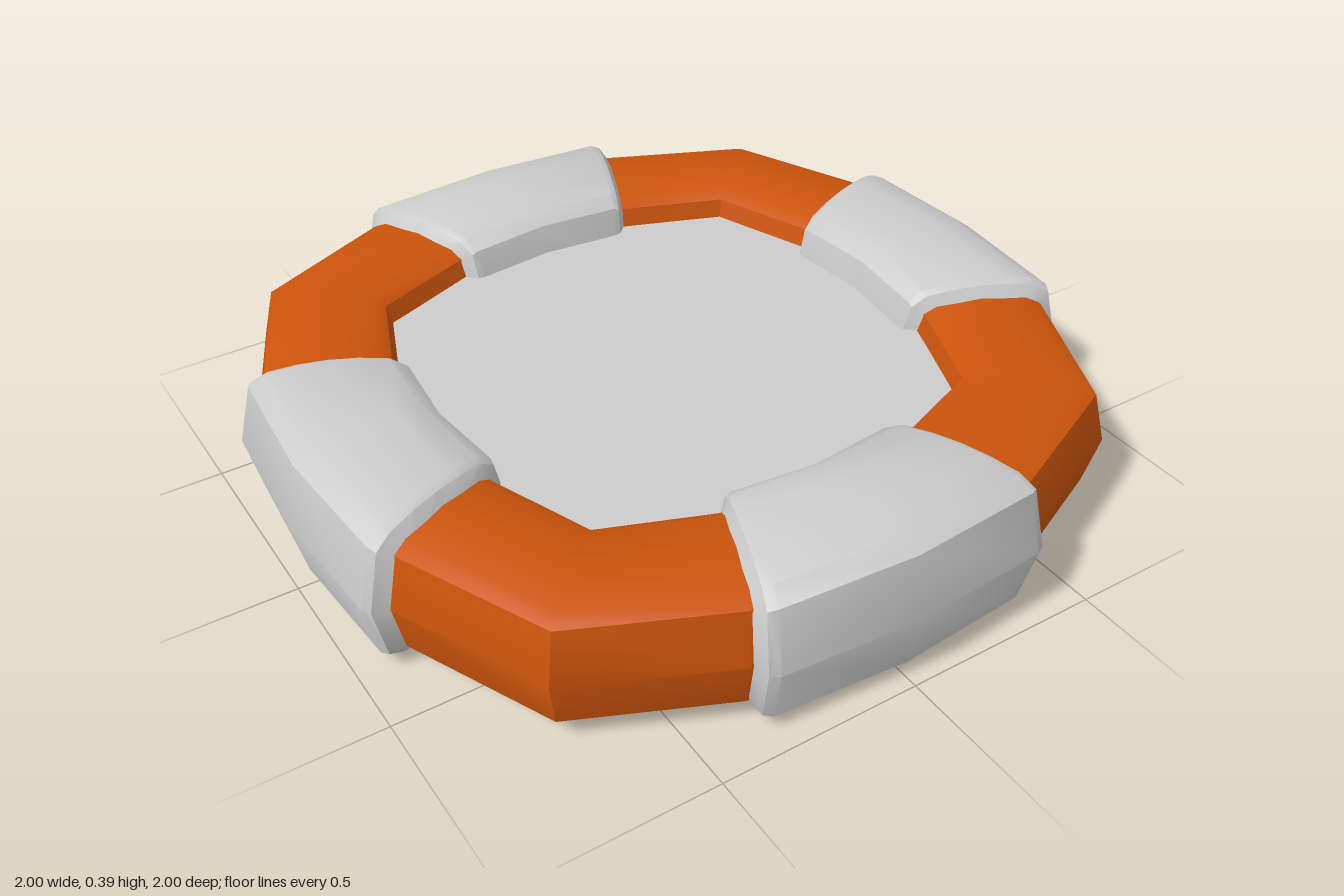
import * as THREE from 'three';
import { toCreasedNormals } from 'three/addons/utils/BufferGeometryUtils.js';

const MID_Y = 0.197;

// Mirrors a half profile (u outward, v up) that starts and ends at v = 0 into a closed loop.
function closeProfile(top) {
  return [...top, ...top.slice(1, -1).reverse().map(([u, v]) => [u, -v])];
}

// Lofts a profile through radial stations { a: degrees, ri, ro, h: half height }.
function loft(stations, profile) {
  const pos = [], idx = [], n = profile.length;
  for (const { a, ri, ro, h } of stations) {
    const t = THREE.MathUtils.degToRad(a);
    for (const [u, v] of profile) {
      const r = (ri + ro) / 2 + (u * (ro - ri)) / 2;
      pos.push(r * Math.sin(t), MID_Y + v * h, r * Math.cos(t));
    }
  }
  for (let i = 0; i < stations.length - 1; i++) {
    for (let j = 0; j < n; j++) {
      const a = i * n + j, b = i * n + ((j + 1) % n);
      idx.push(a, a + n, b, b, a + n, b + n);
    }
  }
  const g = new THREE.BufferGeometry();
  g.setAttribute('position', new THREE.Float32BufferAttribute(pos, 3));
  g.setIndex(idx);
  return toCreasedNormals(g, THREE.MathUtils.degToRad(32));
}

export function createModel() {
  const orange = new THREE.MeshStandardMaterial({ name: 'orange', color: 0xcc540c });
  const lightGrey = new THREE.MeshStandardMaterial({ name: 'light grey', color: 0xcccccc });
  const group = new THREE.Group();
  group.name = 'raft';

  const add = (name, geometry, material) => {
    const mesh = new THREE.Mesh(geometry, material);
    mesh.name = name;
    group.add(mesh);
    return mesh;
  };

  // Float ring: a rounded square with straight runs between its bends
  const bends = [
    { ri: 0.6, ro: 0.965 },
    { ri: 0.622, ro: 0.998 },
    { ri: 0.683, ro: 1.066 },
    { ri: 0.622, ro: 0.998 },
  ];
  const ring = [];
  for (let i = 0; i <= 16; i++) ring.push({ a: (i % 16) * 22.5, h: 0.157, ...bends[i % 4] });
  const tubeProfile = closeProfile([
    [1, 0], [0.83, 0.81], [0.64, 0.93], [0, 1], [-0.62, 0.93], [-0.79, 0.81], [-1, 0],
  ]);
  add('floatRing', loft(ring, tubeProfile), orange);

  // Four padded bands wrapped around the ring, tapering into it at both ends
  const bandProfile = closeProfile([
    [1, 0], [0.84, 0.78], [0.64, 0.92], [0.32, 0.98], [0, 1],
    [-0.32, 0.98], [-0.64, 0.92], [-0.81, 0.78], [-1, 0],
  ]);
  const end = { ri: 0.627, ro: 0.992, h: 0.15 };
  const edge = { ri: 0.59, ro: 1.03, h: 0.185 };
  const full = { ri: 0.582, ro: 1.034, h: 0.194 };
  const bandGeometry = loft([
    { a: -22.4, ...end },
    { a: -20.9, ...edge },
    { a: -19.5, ...full },
    { a: 0, ri: 0.57, ro: 1, h: 0.195 },
    { a: 19.5, ...full },
    { a: 20.9, ...edge },
    { a: 22.4, ...end },
  ], bandProfile);
  ['front', 'left', 'back', 'right'].forEach((side, i) => {
    add(side + 'Band', bandGeometry, lightGrey).rotation.y = (i * Math.PI) / 2;
  });

  // Floor slab filling the middle, its rim buried in the ring
  const outline = ring.slice(0, 16).map(({ a, ri }) => {
    const t = THREE.MathUtils.degToRad(a);
    return new THREE.Vector2((ri + 0.06) * Math.sin(t), (ri + 0.06) * Math.cos(t));
  });
  const floor = new THREE.ExtrudeGeometry(new THREE.Shape(outline), { depth: 0.16, bevelEnabled: false });
  floor.rotateX(-Math.PI / 2).translate(0, MID_Y - 0.08, 0);
  add('floor', floor, lightGrey);

  return group;
}
